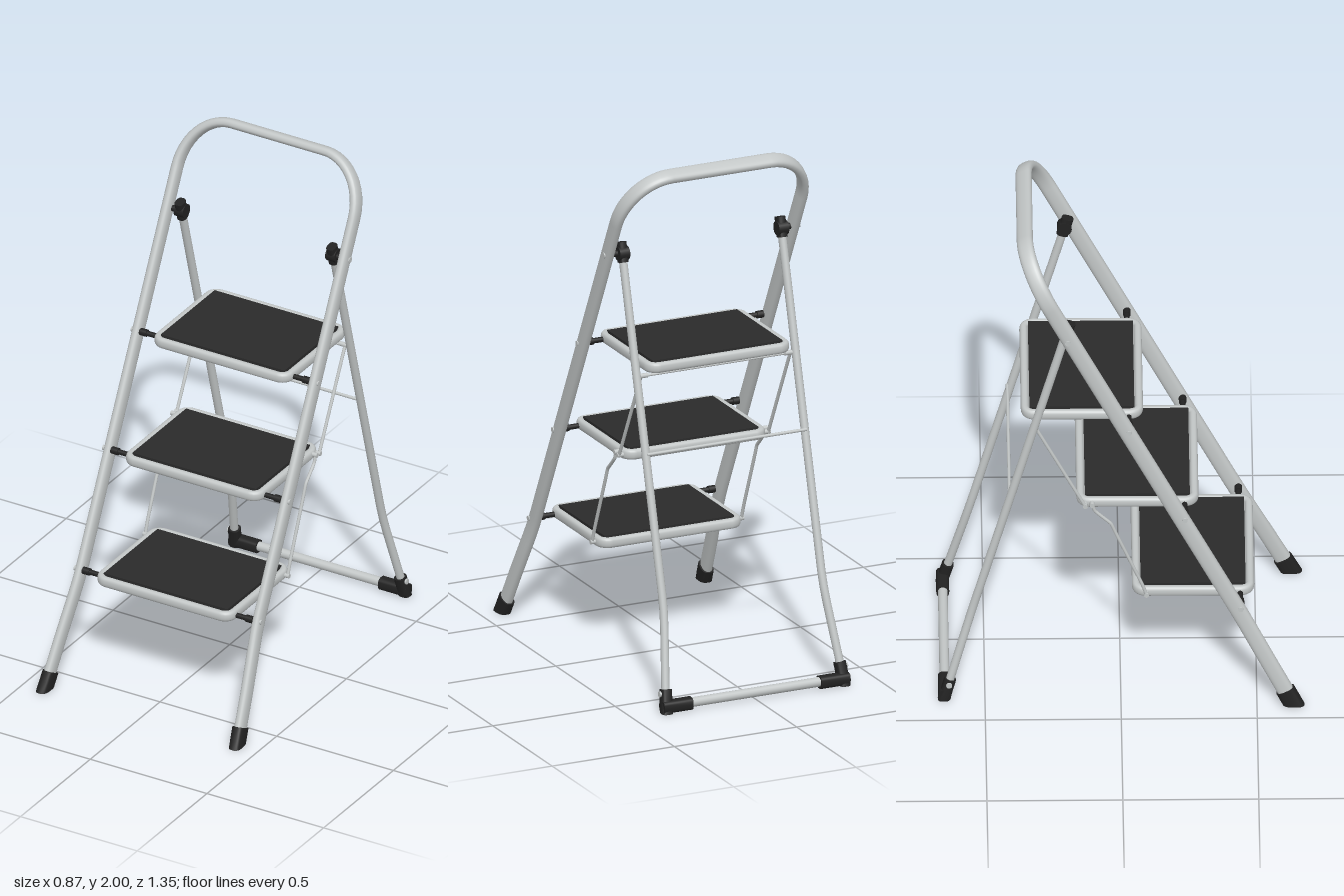
import * as THREE from 'three';

const mat = (name, color) => Object.assign(new THREE.MeshStandardMaterial({ color }), { name });
const V = (x, y, z) => new THREE.Vector3(x, y, z);

// Sweeps a rounded oval section along a path; a = half width in the path's plane, b = half width along n.
// Anything below the ground is slid back along the path to y = 0.
function sweep(path, n, a, b, { closed = false, power = 1, sides = 18 } = {}) {
  const pos = [], idx = [], count = path.length;
  const bend = v => Math.sign(v) * Math.abs(v) ** power;
  const rings = path.map((p, i) => {
    const prev = closed ? path[(i + count - 1) % count] : path[Math.max(i - 1, 0)];
    const next = closed ? path[(i + 1) % count] : path[Math.min(i + 1, count - 1)];
    const t = next.clone().sub(prev).normalize();
    const side = n.clone().cross(t).normalize();
    const up = t.clone().cross(side);
    return Array.from({ length: sides }, (_, j) => {
      const q = j / sides * Math.PI * 2;
      const v = p.clone().addScaledVector(side, a * bend(Math.cos(q))).addScaledVector(up, b * bend(Math.sin(q)));
      if (v.y < 0 && Math.abs(t.y) > 0.2) v.addScaledVector(t, -v.y / t.y);
      return v;
    });
  });
  rings.forEach(r => r.forEach(v => pos.push(v.x, v.y, v.z)));
  for (let i = 0; i < (closed ? count : count - 1); i++) {
    for (let j = 0; j < sides; j++) {
      const i2 = (i + 1) % count, j2 = (j + 1) % sides;
      const A = i * sides + j, B = i * sides + j2, C = i2 * sides + j2, D = i2 * sides + j;
      idx.push(A, B, C, A, C, D);
    }
  }
  // flat end caps
  if (!closed) {
    [rings[0], rings[count - 1]].forEach((ring, e) => {
      const base = pos.length / 3;
      const c = ring.reduce((s, v) => s.add(v), V(0, 0, 0)).divideScalar(sides);
      [c, ...ring].forEach(v => pos.push(v.x, v.y, v.z));
      for (let j = 0; j < sides; j++) {
        const p = base + 1 + j, q = base + 1 + (j + 1) % sides;
        idx.push(base, ...(e ? [p, q] : [q, p]));
      }
    });
  }
  const g = new THREE.BufferGeometry();
  g.setAttribute('position', new THREE.Float32BufferAttribute(pos, 3));
  g.setIndex(idx);
  g.computeVertexNormals();
  return g;
}

export function createModel() {
  const root = new THREE.Group();
  root.name = 'stepLadder';
  const steel = mat('paintedSteel', 0xc2c6c6);
  const panelGrey = mat('panelGrey', 0xa0a3a3);
  const plastic = mat('blackPlastic', 0x222222);
  const tread = mat('treadRubber', 0x2a2a2a);

  const add = (parent, name, geo, material) => {
    const m = new THREE.Mesh(geo, material);
    m.name = name;
    parent.add(m);
    return m;
  };
  // cylinder lying along x
  const pin = (parent, name, x0, x1, y, z, r, material) => {
    const m = add(parent, name, new THREE.CylinderGeometry(r, r, Math.abs(x1 - x0), 16).rotateZ(Math.PI / 2), material);
    m.position.set((x0 + x1) / 2, y, z);
  };

  // front frame: one bent oval tube in a tilted plane
  const front = (x, y) => V(x, y, 0.635 - 0.5 * y);
  const frontNormal = V(0, 0.5, 1).normalize();
  const half = [[0.409, 0.045], [0.399, 0.18], [0.385, 0.33], [0.381, 0.38], [0.379, 0.44], [0.379, 1.1]];
  for (let i = 0; i <= 12; i++) {
    const q = i / 12 * Math.PI / 2;
    half.push([0.2 + 0.179 * Math.cos(q), 1.785 + 0.188 * Math.sin(q)]);
  }
  const outline = [...half, ...half.slice().reverse().map(([x, y]) => [-x, y])];
  add(root, 'frontFrame', sweep(outline.map(([x, y]) => front(x, y)), frontNormal, 0.0185, 0.031,
    { power: 0.8, sides: 24 }), steel);

  // rear frame
  const rear = (x, y) => V(x, y, -0.2 - 0.275 * (1.64 - y));
  const rearNormal = V(0, -0.275, 1).normalize();
  const barZ = -0.648;
  pin(root, 'rearBottomBar', -0.3, 0.3, 0.026, barZ, 0.018, steel);
  pin(root, 'rearCrossRod', -0.325, 0.325, 0.925, -0.41, 0.006, steel);
  pin(root, 'topStepRod', -0.31, 0.31, 1.198, -0.315, 0.005, steel);

  for (const s of [-1, 1]) {
    const side = new THREE.Group();
    side.name = s > 0 ? 'leftSideParts' : 'rightSideParts';
    root.add(side);

    add(side, 'frontFoot', sweep([front(s * 0.416, -0.035), front(s * 0.41, 0.025), front(s * 0.407, 0.062)],
      frontNormal, 0.024, 0.036, { power: 0.7 }), plastic);

    const legPath = [[0.325, 1.63], [0.325, 0.42], [0.327, 0.36], [0.332, 0.3], [0.36, 0.05]];
    add(side, 'rearLeg', sweep(legPath.map(([x, y]) => rear(s * x, y)), rearNormal, 0.0155, 0.0155), steel);
    add(side, 'rearFoot', sweep([rear(s * 0.365, -0.03), rear(s * 0.361, 0.03), rear(s * 0.355, 0.085)],
      rearNormal, 0.022, 0.022, { power: 0.7 }), plastic);
    add(side, 'rearFootSleeve', sweep([V(s * 0.262, 0.024, barZ), V(s * 0.38, 0.024, barZ)],
      V(0, 1, 0), 0.024, 0.024, { power: 0.7 }), plastic);
    pin(side, 'rearFootRivet', s * 0.365, s * 0.384, 0.07, -0.632, 0.011, steel);

    // pivot joining the two frames
    add(side, 'pivotCap', sweep([rear(s * 0.325, 1.612), rear(s * 0.325, 1.685)],
      rearNormal, 0.018, 0.022, { power: 0.7 }), plastic);
    add(side, 'pivotHub', new THREE.CylinderGeometry(0.027, 0.027, 0.04, 20).rotateZ(Math.PI / 2), plastic)
      .position.set(s * 0.325, 1.645, -0.2);
    pin(side, 'pivotPin', s * 0.33, s * 0.37, 1.645, -0.195, 0.012, plastic);
    pin(side, 'pivotBolt', s * 0.37, s * 0.401, 1.645, -0.195, 0.011, steel);

    // folding linkage wires
    const wire = (name, pts) => add(side, name, new THREE.TubeGeometry(
      new THREE.CatmullRomCurve3(pts.map(([y, z]) => V(s * 0.305, y, z)), false, 'catmullrom', 0.2),
      48, 0.0065, 8), steel);
    wire('upperLinkage', [[1.2, -0.318], [1.17, -0.302], [0.87, -0.15], [0.83, -0.13]]);
    wire('lowerLinkage', [[0.84, -0.105], [0.81, -0.095], [0.775, -0.06], [0.75, -0.035],
      [0.7, -0.015], [0.5, 0.068], [0.47, 0.08], [0.425, 0.095]]);
    for (const [y, z] of [[1.2, -0.318], [0.833, -0.13], [0.838, -0.105], [0.425, 0.095]])
      pin(side, 'linkagePivot', s * 0.28, s * 0.313, y, z, 0.009, steel);
  }

  // steps: tube rim, sheet panel, rubber tread
  [[0.425, 0.267, 0.44], [0.834, 0.062, 0.235], [1.235, -0.142, 0.03]].forEach(([y, z, pinZ], k) => {
    const step = new THREE.Group();
    step.name = 'step' + (k + 1);
    root.add(step);
    const hx = 0.28, hz = 0.21, r = 0.035, rim = [];
    [[1, 1], [-1, 1], [-1, -1], [1, -1]].forEach(([sx, sz], c) => {
      for (let i = 0; i <= 6; i++) {
        const q = (c + i / 6) * Math.PI / 2;
        rim.push(V(sx * (hx - r) + r * Math.cos(q), y, z + sz * (hz - r) + r * Math.sin(q)));
      }
    });
    add(step, 'rim', sweep(rim, V(0, 1, 0), 0.015, 0.02, { closed: true, power: 0.8 }), steel);
    add(step, 'panel', new THREE.BoxGeometry(0.54, 0.014, 0.4), panelGrey).position.set(0, y + 0.004, z);
    add(step, 'tread', new THREE.BoxGeometry(0.53, 0.012, 0.386), tread).position.set(0, y + 0.017, z);
    for (const s of [-1, 1]) {
      pin(step, 'stepPin', s * 0.285, s * 0.37, y - 0.003, pinZ, 0.01, plastic);
      pin(step, 'stepCollar', s * 0.335, s * 0.364, y - 0.003, pinZ, 0.014, plastic);
      pin(step, 'stepBolt', s * 0.37, s * 0.401, y - 0.003, pinZ, 0.01, steel);
    }
  });
  return root;
}
